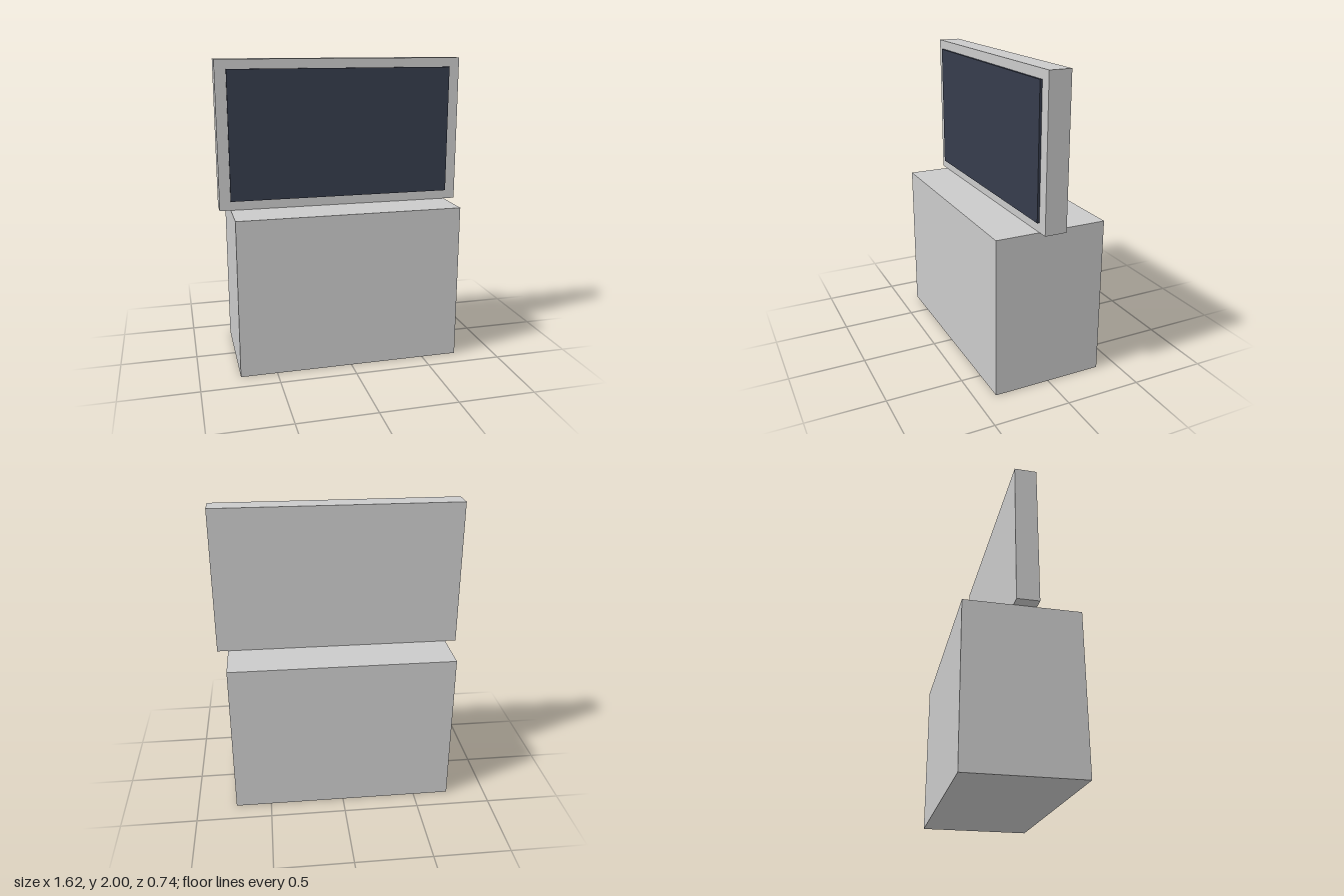
import * as THREE from 'three';

export function createModel() {
  const group = new THREE.Group();
  const casing = new THREE.MeshStandardMaterial({ name: 'casing grey', color: 0xcacaca });
  const glass = new THREE.MeshStandardMaterial({ name: 'screen navy', color: 0x363c4c });

  // Box given by its size, bottom height and back face
  const addBox = (name, material, width, height, depth, bottom, back) => {
    const mesh = new THREE.Mesh(new THREE.BoxGeometry(width, height, depth), material);
    mesh.name = name;
    mesh.position.set(0, bottom + height / 2, back + depth / 2);
    group.add(mesh);
  };

  // Cabinet at the bottom
  addBox('cabinet', casing, 1.476, 1.038, 0.736, 0, -0.368);
  // Display housing standing on the cabinet
  addBox('displayHousing', casing, 1.62, 0.96, 0.144, 1.04, -0.058);
  // Screen plate on the front of the housing
  addBox('screen', glass, 1.476, 0.84, 0.015, 1.1, 0.086);

  return group;
}
